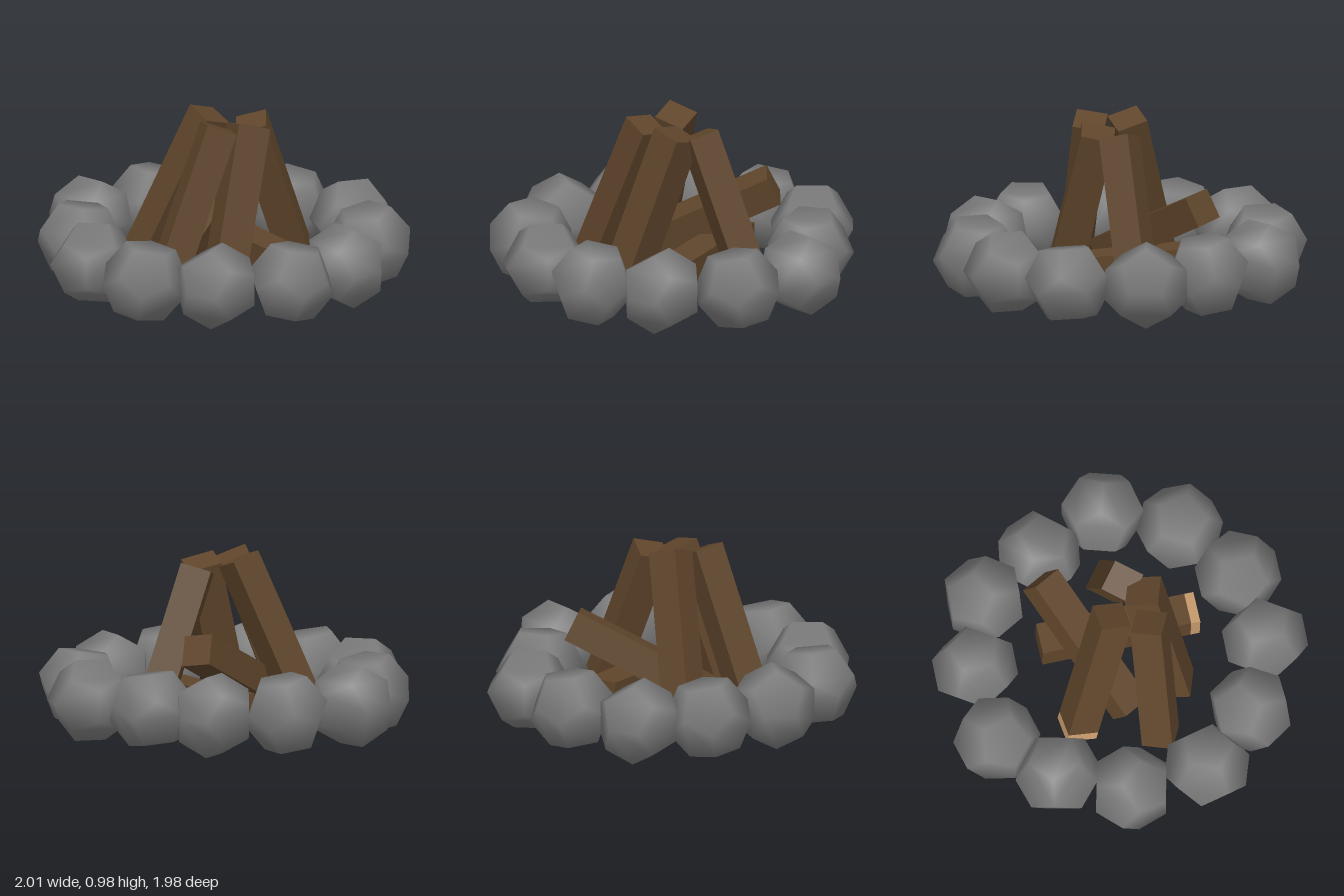
import * as THREE from 'three';

export function createModel() {
  const stone = new THREE.MeshStandardMaterial({ color: 0x7c7c7c, name: 'stoneGrey' });
  const bark = new THREE.MeshStandardMaterial({ color: 0x5f452b, name: 'barkBrown' });
  const cut = new THREE.MeshStandardMaterial({ color: 0xc4976b, name: 'cutWood' });
  const rad = THREE.MathUtils.degToRad;
  const model = new THREE.Group();
  model.name = 'campfire';

  // Stone: a dodecahedron with soft, rounded shading
  const stoneGeo = new THREE.DodecahedronGeometry(0.234);
  const pos = stoneGeo.attributes.position;
  const v = new THREE.Vector3();
  for (let i = 0; i < pos.count; i++) {
    v.fromBufferAttribute(pos, i).normalize();
    stoneGeo.attributes.normal.setXYZ(i, v.x, v.y, v.z);
  }

  // Ring of stones: x, z, turn about y, tilt about z (degrees)
  const ring = new THREE.Group();
  ring.name = 'stoneRing';
  const Y = new THREE.Vector3(0, 1, 0), Z = new THREE.Vector3(0, 0, 1);
  [
    [0.06, -0.775, 0, 22], [0.43, -0.645, -61, 0], [0.615, -0.3, -75, 22],
    [0.768, 0.08, 73, 0], [0.6, 0.465, 10, -22], [0.27, 0.71, 0, 0],
    [-0.118, 0.77, 0, 22], [-0.495, 0.605, -57, 0], [-0.755, 0.31, -20, 22],
    [-0.792, -0.112, 45, 0], [-0.625, -0.475, 20, 22], [-0.36, -0.75, 14, 0],
  ].forEach(([x, z, turn, tilt]) => {
    const mesh = new THREE.Mesh(stoneGeo, stone);
    mesh.name = 'stone';
    mesh.position.set(x, 0.235, z);
    mesh.quaternion.setFromAxisAngle(Y, rad(turn))
      .multiply(new THREE.Quaternion().setFromAxisAngle(Z, rad(tilt)))
      .multiply(new THREE.Quaternion().setFromAxisAngle(Y, Math.PI / 2));
    ring.add(mesh);
  });
  model.add(ring);

  // Square log from foot to top; side sets the roll, pale lists the box sides bared at the foot
  const TIP = 0.05;
  function log(name, foot, top, side, width = 0.168, pale = []) {
    const a = new THREE.Vector3(...foot), b = new THREE.Vector3(...top);
    const dir = b.clone().sub(a), len = dir.length();
    dir.normalize();
    const z = new THREE.Vector3().crossVectors(new THREE.Vector3(...side), dir).normalize();
    const x = new THREE.Vector3().crossVectors(dir, z);
    const group = new THREE.Group();
    group.name = name;
    group.position.copy(a);
    group.quaternion.setFromRotationMatrix(new THREE.Matrix4().makeBasis(x, dir, z));
    const add = (partName, from, to, mat) => {
      const mesh = new THREE.Mesh(new THREE.BoxGeometry(width, to - from, width), mat);
      mesh.name = partName;
      mesh.position.y = (from + to) / 2;
      group.add(mesh);
    };
    add('logBody', pale.length ? TIP : 0, len, bark);
    if (pale.length) {
      add('logFoot', 0, TIP, [0, 1, 2, 3, 4, 5].map((i) => (pale.includes(i) ? cut : bark)));
    }
    model.add(group);
  }
  const yaw = (deg) => [Math.cos(rad(deg)), 0, -Math.sin(rad(deg))];

  // Leaning logs
  log('backLog', [-0.35, 0.1, -0.31], [-0.07, 0.945, -0.055], yaw(0), 0.168, [1, 5]);
  log('rightLog', [-0.49, 0.1, 0.115], [-0.145, 0.93, 0.13], yaw(-22));
  log('frontLog', [-0.21, 0.08, 0.26], [0.045, 0.91, 0.14], yaw(-15), 0.18);
  log('leftLog', [0.42, 0.13, 0.025], [0.125, 0.895, 0.045], yaw(-36));

  // Lying logs
  log('groundLog', [0.125, 0.175, 0.45], [0.125, 0.195, -0.41], [1, 0, 0], 0.172, [0, 1, 4]);
  log('crossLog', [-0.33, 0.17, -0.01], [0.36, 0.535, -0.35], [0.43, -0.2, 0.9]);

  return model;
}
